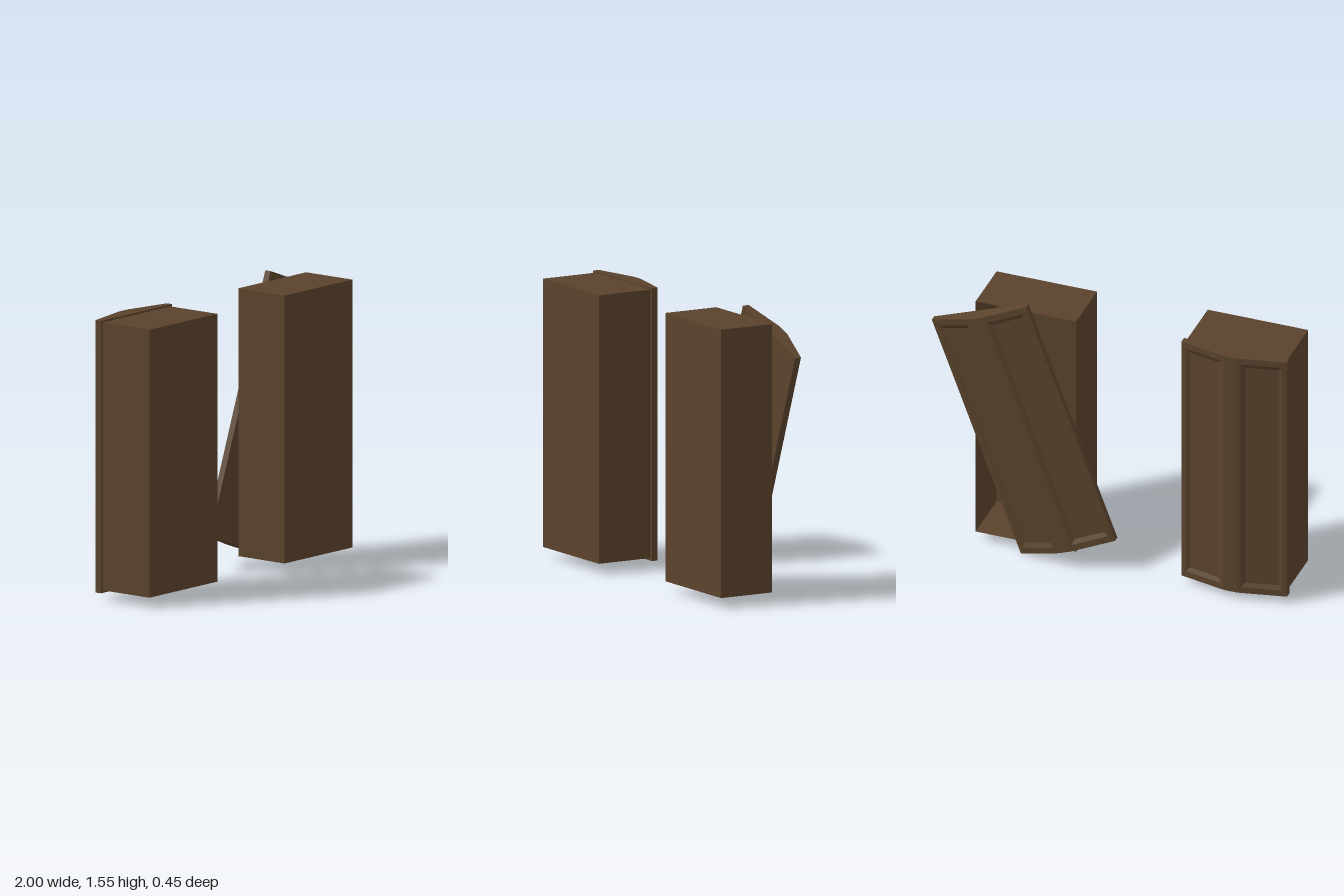
import * as THREE from 'three';

const wood = new THREE.MeshStandardMaterial({ color: 0x5a432d, side: THREE.DoubleSide });
wood.name = 'dark wood';

// Thin-walled case, open at the back (-z)
function makeCase(name, x, y, zFront, zBack, w, h) {
  const d = zFront - zBack;
  const geo = new THREE.BoxGeometry(w, h, d);
  geo.setIndex(Array.from(geo.index.array).slice(0, 30));
  geo.clearGroups();
  const mesh = new THREE.Mesh(geo, wood);
  mesh.name = name;
  mesh.position.set(x, y, (zFront + zBack) / 2);
  return mesh;
}

// Ridged lid with a recessed panel in each slope; underside at z = 0, ridge towards -z
function makeLid(name, w, h) {
  const W = w / 2, L = h / 2, edge = 0.036, top = 0.091, ridge = 0.038;
  const pos = [];
  const quad = (a, b, c, d) => pos.push(...a, ...b, ...c, ...a, ...c, ...d);

  // Underside and flat ridge
  quad([-W, -L, 0], [-W, L, 0], [W, L, 0], [W, -L, 0]);
  quad([-ridge, -L, top], [ridge, -L, top], [ridge, L, top], [-ridge, L, top]);

  for (const s of [1, -1]) {
    const P = (x, y, z) => [x * s, y * s, z];
    // Long side
    quad(P(W, -L, 0), P(W, L, 0), P(W, L, edge), P(W, -L, edge));
    // End wall: lower band and gable
    quad(P(W, L, 0), P(-W, L, 0), P(-W, L, edge), P(W, L, edge));
    quad(P(W, L, edge), P(-W, L, edge), P(-ridge, L, top), P(ridge, L, top));

    // Slope: nested rectangles for frame, bevel and panel
    const ring = (outer, inner, end, depth) => {
      const p = (x, y) =>
        P(x, y, edge + (top - edge) * (W - x) / (W - ridge) - depth);
      const x0 = W - outer, x1 = ridge + inner, y = L - end;
      return [p(x0, -y), p(x0, y), p(x1, y), p(x1, -y)];
    };
    const rings = [
      ring(0, 0, 0, 0),
      ring(0.026, 0.016, 0.036, 0),
      ring(0.048, 0.038, 0.06, 0.012),
    ];
    for (let r = 0; r < 2; r++) {
      for (let i = 0; i < 4; i++) {
        const j = (i + 1) % 4;
        quad(rings[r][i], rings[r][j], rings[r + 1][j], rings[r + 1][i]);
      }
    }
    quad(...rings[2]);
  }

  const geo = new THREE.BufferGeometry();
  geo.setAttribute('position', new THREE.Float32BufferAttribute(pos, 3));
  geo.rotateY(Math.PI);
  geo.computeVertexNormals();
  const mesh = new THREE.Mesh(geo, wood);
  mesh.name = name;
  return mesh;
}

export function createModel() {
  const model = new THREE.Group();
  model.name = 'pair of coffins';

  // Closed coffin
  const closed = new THREE.Group();
  closed.name = 'closedCoffin';
  const closedLid = makeLid('closedLid', 0.597, 1.47);
  closedLid.position.set(-0.7015, 0.78, -0.098);
  closed.add(makeCase('closedCase', -0.7015, 0.782, 0.222, -0.098, 0.568, 1.446), closedLid);

  // Open coffin with its lid tilted across the opening
  const open = new THREE.Group();
  open.name = 'openCoffin';
  const openLid = makeLid('tiltedLid', 0.568, 1.446);
  openLid.position.set(0.478, 0.78, -0.134);
  openLid.rotation.z = -0.356;
  open.add(makeCase('openCase', 0.478, 0.782, 0.182, -0.134, 0.568, 1.446), openLid);

  model.add(closed, open);
  return model;
}
